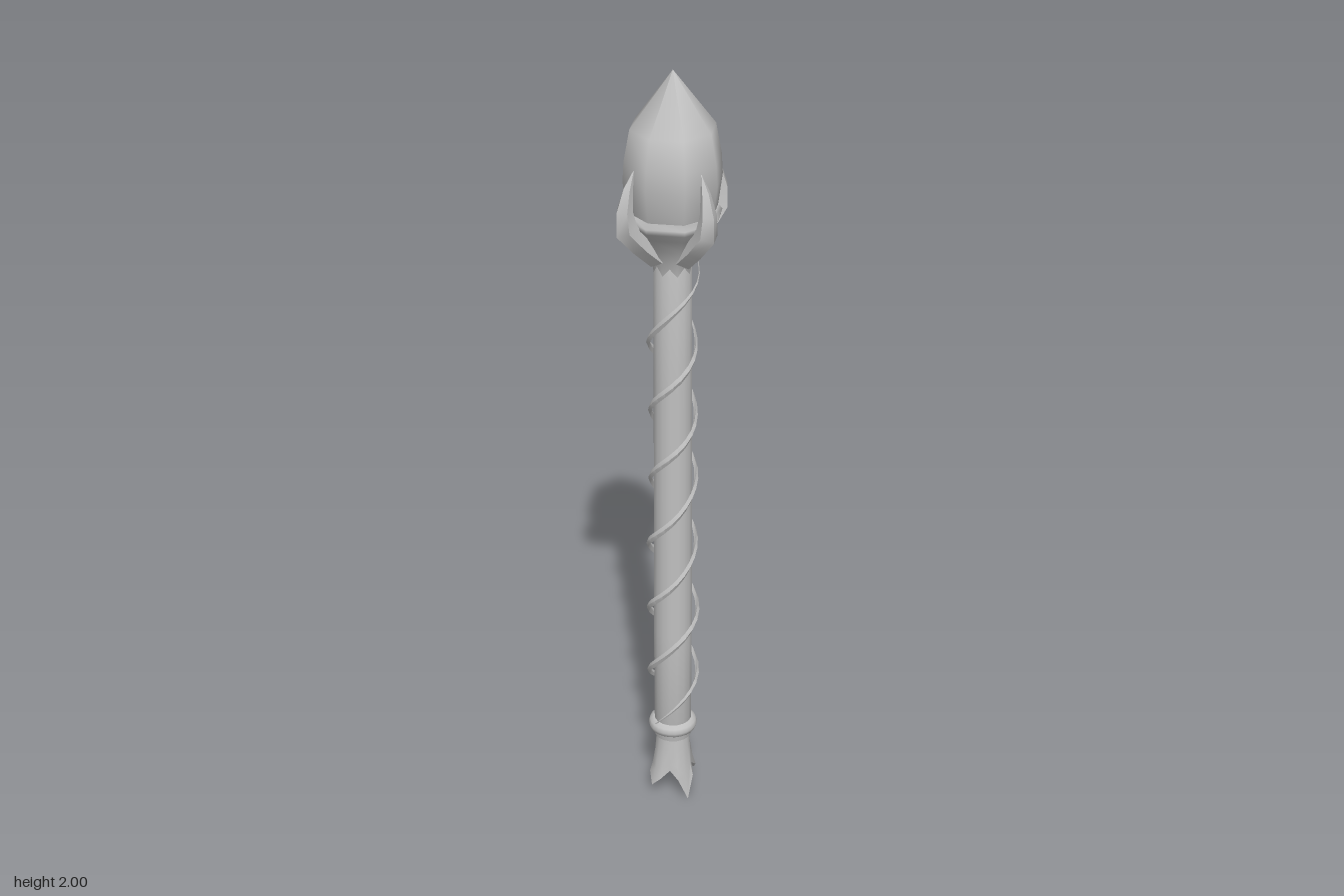
import * as THREE from 'three';
import { toCreasedNormals } from 'three/addons/utils/BufferGeometryUtils.js';

const TAU = Math.PI * 2;

// Skin a list of equal-sized rings of [x, y, z] points and close both ends.
function loft(rings, crease) {
  const n = rings[0].length, pos = rings.flat(2), idx = [];
  for (let j = 0; j < rings.length - 1; j++) {
    for (let i = 0; i < n; i++) {
      const a = j * n + i, b = j * n + (i + 1) % n;
      idx.push(a, b, b + n, a, b + n, a + n);
    }
  }
  const last = (rings.length - 1) * n;
  for (let i = 1; i < n - 1; i++) idx.push(0, i + 1, i, last, last + i, last + i + 1);
  const g = new THREE.BufferGeometry();
  g.setAttribute('position', new THREE.Float32BufferAttribute(pos, 3));
  g.setIndex(idx);
  g.computeVertexNormals();
  return crease ? toCreasedNormals(g, crease) : g;
}

// Lathe from [radius, y] pairs.
const lathe = (pts, sides, start = 0) =>
  new THREE.LatheGeometry(pts.map(p => new THREE.Vector2(...p)), sides, start);

export function createModel() {
  const group = new THREE.Group();
  const stone = new THREE.MeshStandardMaterial({ color: 0xc0c0c0 });
  stone.name = 'plain grey';
  const add = (name, geometry) => {
    const m = new THREE.Mesh(geometry, stone);
    m.name = name;
    group.add(m);
    return m;
  };

  // Long pole
  add('shaft', lathe([[0, 0.18], [0.048, 0.18], [0.049, 0.5], [0.047, 1.2], [0.046, 1.56], [0, 1.56]], 16));

  // Collar above the foot
  const collar = add('collar', new THREE.TorusGeometry(0.044, 0.019, 10, 24));
  collar.rotation.x = Math.PI / 2;
  collar.position.y = 0.213;

  // Flared foot whose hem is cut into four points
  const footRing = (f) => Array.from({ length: 16 }, (_, i) => {
    const a = i / 16 * TAU, k = Math.abs(Math.cos(2 * a));
    const tip = i % 8 === 0 ? 0 : i % 4 === 0 ? 0.035 : 0.04;
    return f(a, k, THREE.MathUtils.lerp(0.085, tip, k * k));
  });
  const at = (r, y, a) => [r * Math.sin(a), y, r * Math.cos(a)];
  add('foot', loft([
    footRing((a) => at(0.001, 0.1, a)),
    footRing((a, k, y) => at(0.03 + 0.016 * k, y * 0.6 + 0.04, a)),
    footRing((a, k, y) => at(0.048 + 0.02 * k, y, a)),
    footRing((a, k, y) => at(0.048 + 0.008 * k, y * 0.4 + 0.07, a)),
    footRing((a) => at(0.045, 0.15, a)),
    footRing((a) => at(0.04, 0.2, a)),
  ], 0.8));

  // Cup holding the crystal
  add('cup', lathe([[0.045, 1.5], [0.052, 1.54], [0.072, 1.58], [0.093, 1.615],
    [0.115, 1.638], [0.119, 1.652], [0.108, 1.665], [0.09, 1.645], [0, 1.64]], 8, Math.PI / 8));

  // Eight-sided crystal with a pointed top
  add('crystal', lathe([[0, 1.62], [0.09, 1.63], [0.108, 1.66], [0.119, 1.74],
    [0.116, 1.79], [0.102, 1.865], [0, 2]], 8, Math.PI / 8));

  // Four curved claws: [radius, y, half width, half depth]
  const spine = [[0.045, 1.55, 0.026, 0.026], [0.09, 1.592, 0.026, 0.026], [0.134, 1.643, 0.025, 0.029],
    [0.138, 1.69, 0.02, 0.02], [0.127, 1.74, 0.012, 0.012], [0.11, 1.782, 0.001, 0.001]];
  const section = [[0, 1], [1, 0.25], [0.65, -0.8], [-0.65, -0.8], [-1, 0.25]];
  const clawGeometry = loft(spine.map(([r, y, w, d], i) => {
    const p = spine[Math.max(i - 1, 0)], q = spine[Math.min(i + 1, spine.length - 1)];
    const dr = q[0] - p[0], dy = q[1] - p[1], len = Math.hypot(dr, dy);
    return section.map(([u, v]) => [u * w, y - v * d * dr / len, r + v * d * dy / len]);
  }), 0.7);
  for (let i = 0; i < 4; i++) add('claw', clawGeometry).rotation.y = i * Math.PI / 2;

  // Two thin vines winding up the pole, tapered at the ends
  const pitch = 0.378;
  const vine = (front, y0, y1) => {
    const rings = [], steps = Math.round((y1 - y0) / pitch * 20);
    for (let i = 0; i <= steps; i++) {
      const t = i / steps, y = y0 + (y1 - y0) * t, a = (y - front) / pitch * TAU;
      const s = Math.min(1, 0.1 + 8 * Math.min(t, 1 - t));
      const r = 0.059 + 0.004 * Math.sin(a * 1.7), h = 0.012 * s, d = 0.005 * s;
      rings.push([at(r, y + h, a), at(r + d, y, a), at(r, y - h, a), at(r - d, y, a)]);
    }
    return loft(rings, 0.9);
  };
  add('longVine', vine(0.32, 0.22, 1.54));
  add('shortVine', vine(0.51, 0.24, 1.42));

  return group;
}
